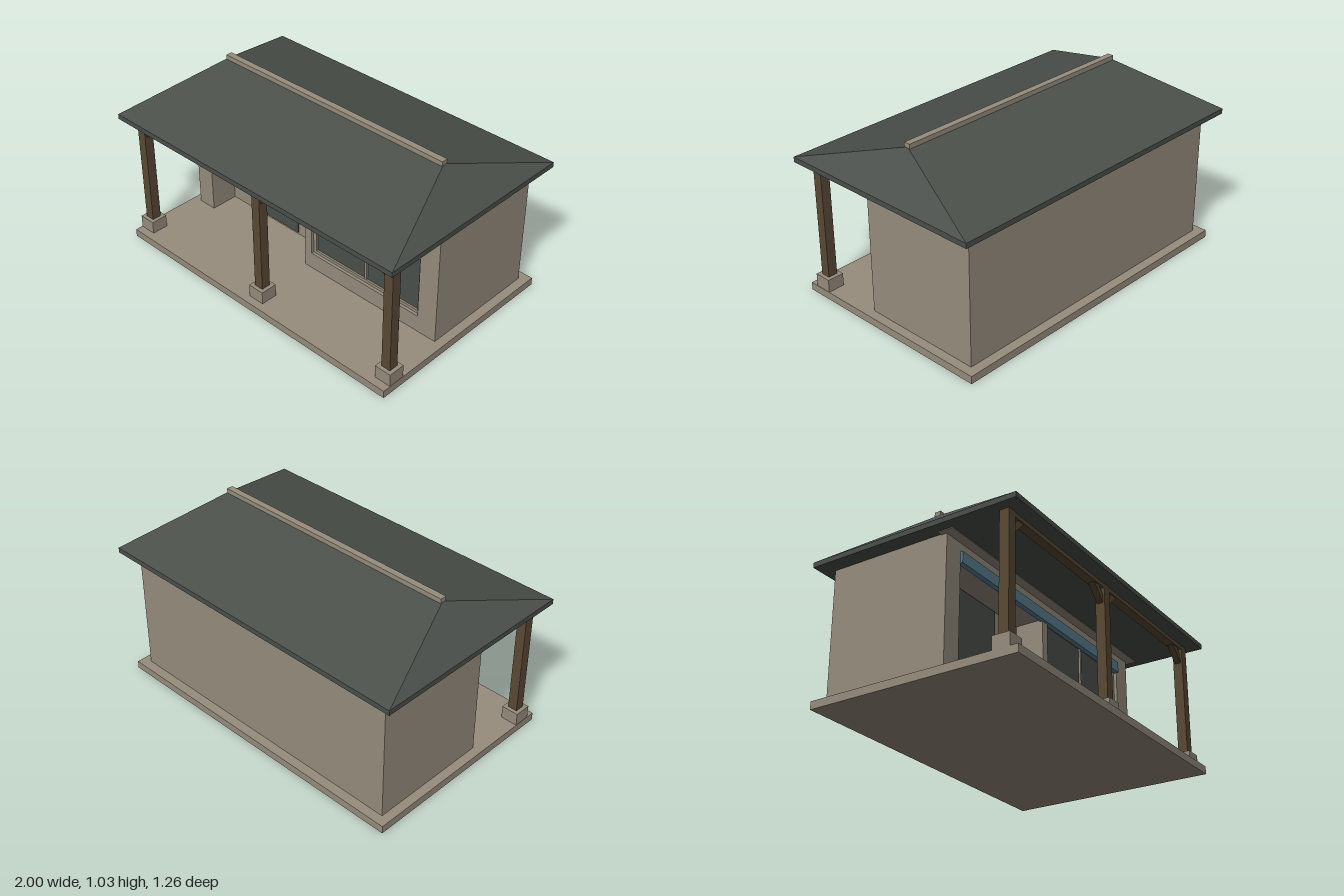
import * as THREE from 'three';

const mat = (name, color) => Object.assign(new THREE.MeshStandardMaterial({ color }), { name });

export function createModel() {
  const stone = mat('stone', 0x978d7e);
  const slate = mat('slate', 0x4b504b);
  const wood = mat('wood', 0x5a4a36);
  const blue = mat('blue', 0x5b8091);
  const black = mat('black', 0x2a2c2a);

  const model = new THREE.Group();
  model.name = 'house';

  const add = (name, geometry, material, parent = model) => {
    const mesh = new THREE.Mesh(geometry, material);
    mesh.name = name;
    parent.add(mesh);
    return mesh;
  };
  // Box given by its limits on each axis
  const box = (name, [x0, x1], [y0, y1], [z0, z1], material, parent) => {
    const g = new THREE.BoxGeometry(x1 - x0, y1 - y0, z1 - z0);
    g.translate((x0 + x1) / 2, (y0 + y1) / 2, (z0 + z1) / 2);
    return add(name, g, material, parent);
  };
  const rectPoints = (x0, x1, y0, y1) =>
    [[x0, y0], [x1, y0], [x1, y1], [x0, y1]].map(p => new THREE.Vector2(...p));
  // Flat panel in the xy plane with rectangular openings
  const panel = (name, outer, holes, [z0, z1], material) => {
    const shape = new THREE.Shape(rectPoints(...outer));
    holes.forEach(h => shape.holes.push(new THREE.Path(rectPoints(...h).reverse())));
    const g = new THREE.ExtrudeGeometry(shape, { depth: z1 - z0, bevelEnabled: false });
    g.translate(0, 0, z0);
    return add(name, g, material);
  };

  // Floor slab and walls, with a recessed entrance
  box('floorSlab', [-0.965, 0.965], [0, 0.045], [-0.61, 0.62], stone);
  box('mainWalls', [-0.912, 0.912], [0.045, 0.8], [-0.555, -0.005], stone);
  box('entrancePier', [-0.912, -0.795], [0.045, 0.8], [-0.005, 0.165], stone);
  box('entranceHeader', [-0.795, -0.03], [0.68, 0.8], [-0.005, 0.165], stone);
  panel('windowWall', [-0.03, 0.912, 0.045, 0.8], [[0.02, 0.79, 0.145, 0.69]], [-0.005, 0.165], stone);
  box('wallBeam', [-0.94, 0.94], [0.785, 0.81], [0.13, 0.22], stone);
  box('blueLintel', [-0.797, 0.79], [0.67, 0.735], [0.15, 0.18], blue);

  // Door
  box('door', [-0.575, -0.25], [0.06, 0.675], [-0.005, 0.003], slate);
  box('doorHandle', [-0.318, -0.312], [0.32, 0.395], [0.003, 0.013], black);

  // Window frame with two panes
  const panes = [[0.04, 0.4, 0.163, 0.68], [0.413, 0.773, 0.163, 0.68]];
  panel('windowFrame', [0.02, 0.79, 0.145, 0.69], panes, [0.115, 0.147], stone);
  panes.forEach(([x0, x1, y0, y1]) =>
    box('windowPane', [x0, x1], [y0, y1], [0.127, 0.135], slate));

  // Porch posts on plinths, with diagonal braces under the beam
  const postZ = 0.523;
  box('porchBeam', [-0.94, 0.94], [0.765, 0.8], [postZ - 0.026, postZ + 0.026], wood);
  const brace = (parent, x, side) => {
    const shape = new THREE.Shape([
      [0.025, 0.675], [0.12, 0.77], [0.07, 0.77], [0.025, 0.725],
    ].map(([px, py]) => new THREE.Vector2(x + side * px, py)));
    const g = new THREE.ExtrudeGeometry(shape, { depth: 0.036, bevelEnabled: false });
    g.translate(0, 0, postZ - 0.018);
    add('brace', g, wood, parent);
  };
  [[-0.913, [1]], [0, [-1, 1]], [0.913, [-1]]].forEach(([x, sides]) => {
    const post = new THREE.Group();
    post.name = 'porchPost';
    model.add(post);
    box('plinth', [x - 0.05, x + 0.05], [0.045, 0.12], [postZ - 0.05, postZ + 0.05], stone, post);
    box('post', [x - 0.028, x + 0.028], [0.12, 0.79], [postZ - 0.028, postZ + 0.028], wood, post);
    sides.forEach(s => brace(post, x, s));
  });

  // Hipped roof: eaves board, and a box whose top edges are drawn in to a ridge
  box('eaves', [-1, 1], [0.79, 0.82], [-0.63, 0.63], slate);
  const hip = new THREE.BoxGeometry(2, 0.19, 1.26).toNonIndexed();
  const p = hip.attributes.position;
  for (let i = 0; i < p.count; i++) {
    if (p.getY(i) > 0) {
      p.setX(i, Math.sign(p.getX(i)) * 0.775);
      p.setZ(i, Math.sign(p.getZ(i)) * 0.002);
    }
  }
  hip.translate(0, 0.915, 0);
  hip.computeVertexNormals();
  add('hippedRoof', hip, slate);
  box('ridgeCap', [-0.778, 0.778], [1.003, 1.032], [-0.019, 0.019], stone);

  return model;
}
